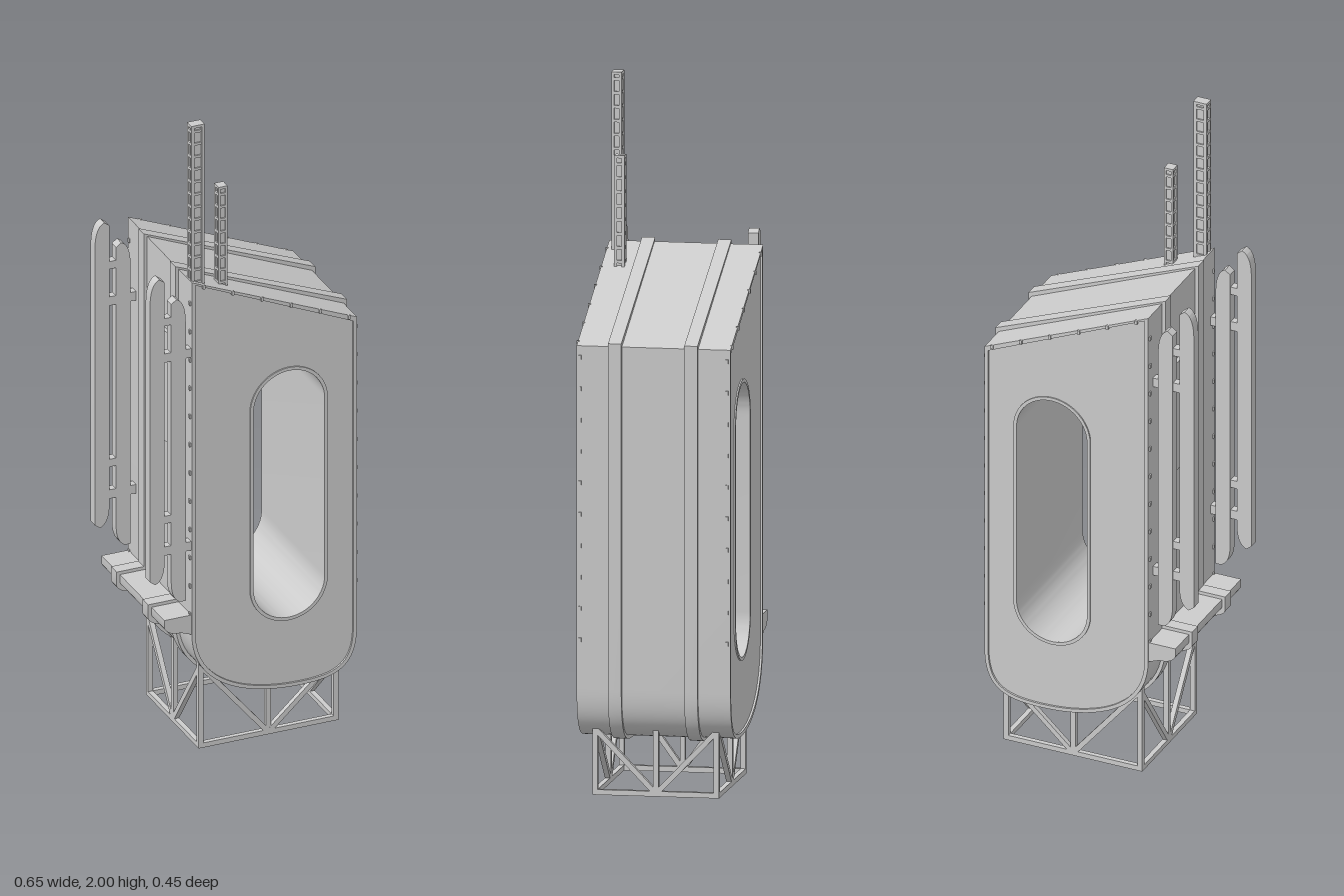
import * as THREE from 'three';
import { toCreasedNormals } from 'three/addons/utils/BufferGeometryUtils.js';

const mat = new THREE.MeshStandardMaterial({ color: 0xcccccc });

// Hull outline, grown outward by d
function outline(Type, d) {
  const l = -0.197 - d, r = 0.314 + d, b = 0.158 - d;
  const p = new Type();
  p.moveTo(l, 1.51 + d);
  p.lineTo(l, 0.39);
  p.bezierCurveTo(l, 0.22 - d, -0.03, b, 0.14, b);
  p.bezierCurveTo(0.25, b, r, 0.18 - d, r, 0.31);
  p.lineTo(r, 1.293 + d);
  p.closePath();
  return p;
}

// Upright slot of radius r, shared by the opening and its rim
function slot(Type, r) {
  const p = new Type(), x = 0.105;
  p.absarc(x, 1.055, r, 0, Math.PI, false);
  p.absarc(x, 0.49, r, Math.PI, Math.PI * 2, false);
  p.closePath();
  return p;
}

export function createModel() {
  const model = new THREE.Group();

  function add(name, geometry, x = 0, y = 0, z = 0, parent = model) {
    const m = new THREE.Mesh(geometry, mat);
    m.name = name;
    m.position.set(x, y, z);
    parent.add(m);
    return m;
  }
  // Extrude a shape from z0 to z1
  function slab(name, shape, z0, z1, parent = model) {
    const g = new THREE.ExtrudeGeometry(shape, { depth: z1 - z0, bevelEnabled: false, curveSegments: 20 });
    return add(name, toCreasedNormals(g, 0.6), 0, 0, z0, parent);
  }
  // Box given by its two extreme corners
  function block(name, a, b, parent = model) {
    const s = a.map((v, i) => b[i] - v);
    return add(name, new THREE.BoxGeometry(...s), ...a.map((v, i) => (v + b[i]) / 2), parent);
  }
  // Square bar between two points
  function bar(name, a, b, w, parent) {
    const p = new THREE.Vector3(...a), q = new THREE.Vector3(...b);
    const m = add(name, new THREE.BoxGeometry(w, w, p.distanceTo(q)), 0, 0, 0, parent);
    m.position.copy(p).add(q).multiplyScalar(0.5);
    m.lookAt(q);
  }

  // Hull with the opening running right through
  const hull = outline(THREE.Shape, -0.004);
  hull.holes.push(slot(THREE.Path, 0.11));
  slab('hull', hull, -0.216, 0.214);

  // Outer skin whose edges stand proud of the side walls
  const skin = outline(THREE.Shape, 0);
  skin.holes.push(outline(THREE.Path, -0.011));
  slab('outerSkin', skin, -0.222, 0.22);

  // Rims around the opening
  for (const z of [-0.22, 0.212]) {
    const rim = slot(THREE.Shape, 0.12);
    rim.holes.push(slot(THREE.Path, 0.11));
    slab('openingRim', rim, z, z + 0.006);
  }

  // Two straps wrapped round the hull
  for (const z of [-0.11, 0.109]) {
    const strap = outline(THREE.Shape, 0.01);
    strap.holes.push(outline(THREE.Path, -0.005));
    slab('strap', strap, z - 0.019, z + 0.019);
  }

  // Rivets along the skin edges
  const rivets = new THREE.Group();
  rivets.name = 'rivets';
  model.add(rivets);
  const rivet = new THREE.BoxGeometry(0.008, 0.012, 0.008);
  for (const z of [-0.212, 0.21]) {
    for (let y = 0.45; y < 1.5; y += 0.09) {
      add('rivet', rivet, -0.197, y, z, rivets);
      if (y < 1.28) add('rivet', rivet, 0.314, y, z, rivets);
    }
  }
  for (const z of [-0.222, 0.22]) {
    for (let i = 0; i < 6; i++) {
      const x = -0.16 + i * 0.09;
      add('rivet', rivet, x, 1.505 - (x + 0.197) * 0.425, z, rivets);
    }
  }

  // Door panels on the ledge side
  for (const s of [-1, 1]) {
    const door = new THREE.Shape();
    door.moveTo(-0.19, s * 0.003);
    door.lineTo(-0.201, s * 0.003);
    door.lineTo(-0.209, s * 0.045);
    door.lineTo(-0.201, s * 0.088);
    door.lineTo(-0.19, s * 0.088);
    const g = new THREE.ExtrudeGeometry(door, { depth: 0.35, bevelEnabled: false });
    g.rotateX(-Math.PI / 2);
    add('doorPanel', g, 0, 0.93, 0);
  }

  // Ledge with two heavier brackets
  function ledgeShape(d) {
    const p = new THREE.Shape();
    p.moveTo(-0.19, 0.45 + d);
    p.lineTo(-0.281 - d, 0.45 + d);
    p.lineTo(-0.281 - d, 0.425 - d);
    p.quadraticCurveTo(-0.27 - d, 0.4 - d, -0.23, 0.4 - d);
    p.lineTo(-0.19, 0.385 - d);
    p.closePath();
    return p;
  }
  slab('ledge', ledgeShape(0), -0.219, 0.217);
  for (const z of [-0.11, 0.109]) slab('ledgeBracket', ledgeShape(0.01), z - 0.019, z + 0.019);

  // Paired upright fins on stand-offs
  function fin(x0, x1, y0, y1, flip) {
    const p = new THREE.Shape();
    const near = flip ? x1 : x0, far = flip ? x0 : x1;
    // The top corner rounds off on one side, the bottom corner on the other
    p.moveTo(near, y0 + (flip ? 0 : 0.012));
    p.lineTo(near, y1 - 0.08);
    p.quadraticCurveTo(near, y1 - 0.01, far + (near - far) * 0.35, y1);
    p.lineTo(far, y1 - 0.012);
    p.lineTo(far, y0 + 0.07);
    p.quadraticCurveTo(far, y0 + 0.01, near + (far - near) * 0.35, y0);
    p.closePath();
    return p;
  }
  for (const z of [-0.178, 0.204]) {
    const fins = new THREE.Group();
    fins.name = 'finPair';
    model.add(fins);
    slab('outerFin', fin(-0.326, -0.281, 0.57, 1.54, false), z - 0.015, z + 0.015, fins);
    slab('innerFin', fin(-0.26, -0.215, 0.5, 1.465, true), z - 0.016, z + 0.014, fins);
    for (const y of [0.77, 1.4]) block('outerStandOff', [-0.285, y - 0.012, z - 0.013], [-0.255, y + 0.012, z + 0.013], fins);
    for (const y of [0.67, 1.285]) block('innerStandOff', [-0.282, y - 0.014, z - 0.012], [-0.19, y + 0.014, z + 0.012], fins);
  }

  // Channel masts with rungs
  function mast(x0, x1, z0, z1, y0, y1) {
    const g = new THREE.Group();
    g.name = 'mast';
    model.add(g);
    const w = (x1 - x0) * 0.22, t = 0.005;
    block('mastCore', [x0 + t, y0, z0 + t], [x1 - t, y1, z1 - t], g);
    for (const x of [x0, x1 - w]) {
      block('mastRail', [x, y0, z0], [x + w, y1, z0 + 0.008], g);
      block('mastRail', [x, y0, z1 - 0.008], [x + w, y1, z1], g);
    }
    for (let y = y0 + 0.03; y < y1; y += 0.04) block('mastRung', [x0, y - 0.004, z0 + 0.001], [x1, y + 0.004, z1 - 0.001], g);
    block('mastCap', [x0, y1 - 0.008, z0], [x1, y1, z1], g);
  }
  mast(-0.192, -0.151, 0.176, 0.206, 1.47, 2);
  mast(-0.098, -0.07, 0.153, 0.183, 1.44, 1.775);

  // Open stand: base ring, posts and braces from the middle of each side
  const stand = new THREE.Group();
  stand.name = 'stand';
  model.add(stand);
  const xs = [-0.152, 0.266], zs = [-0.174, 0.175], w = 0.015, y = 0.0075, mid = 0.057;
  const topY = [0.27, 0.21];
  for (const z of zs) {
    bar('baseRail', [xs[0] - w / 2, y, z], [xs[1] + w / 2, y, z], w, stand);
    bar('middlePost', [mid, 0, z], [mid, 0.2, z], w, stand);
    xs.forEach((x, i) => {
      bar('cornerPost', [x, 0, z], [x, topY[i], z], w, stand);
      bar('brace', [mid, y, z], [x, topY[i] - 0.01, z], w, stand);
    });
  }
  xs.forEach((x, i) => {
    bar('baseRail', [x, y, zs[0]], [x, y, zs[1]], w, stand);
    bar('middlePost', [x, 0, 0], [x, topY[i], 0], w, stand);
    for (const z of zs) bar('brace', [x, y, 0], [x, topY[i] - 0.02, z], w, stand);
  });

  return model;
}
